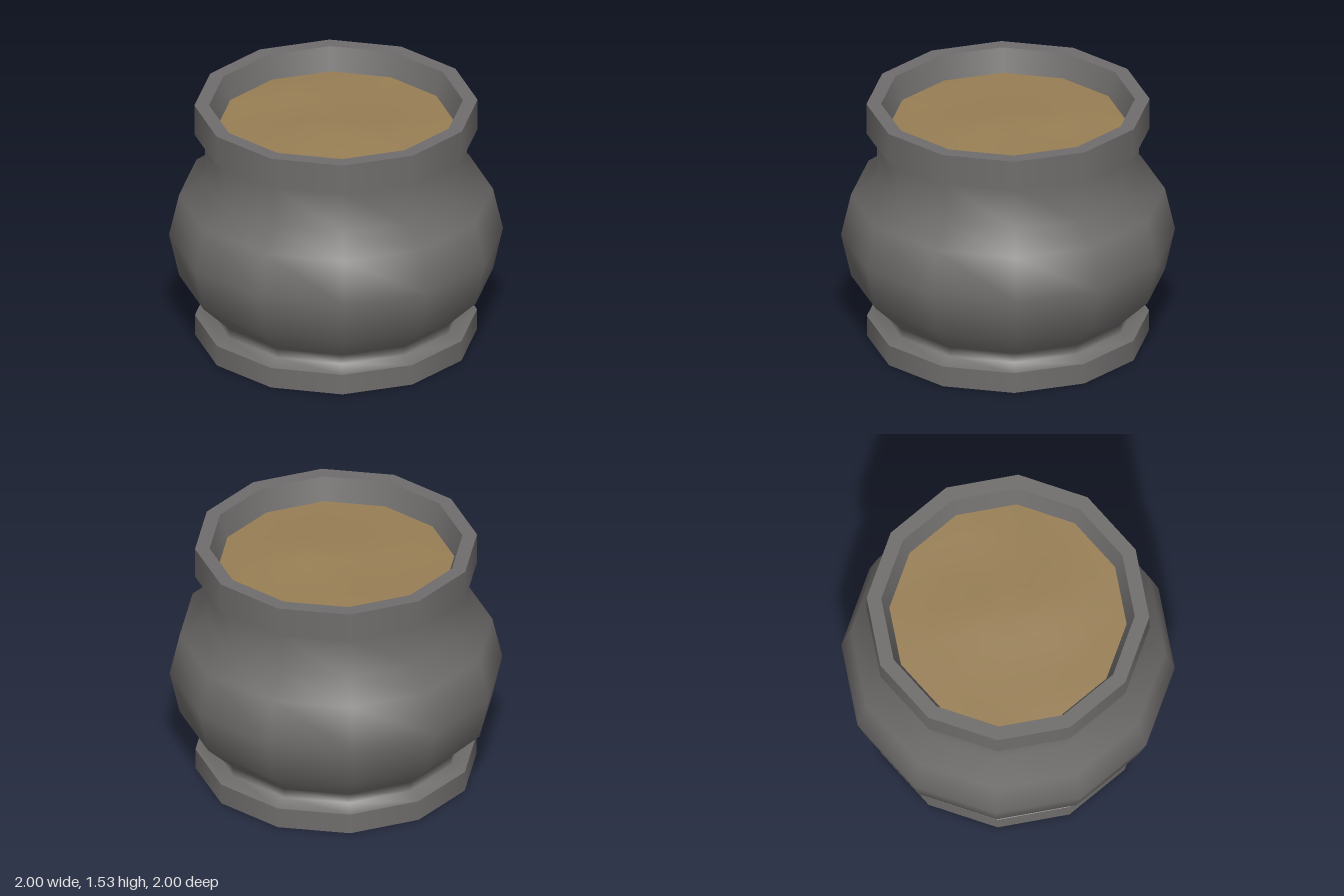
import * as THREE from 'three';
import { mergeVertices } from 'three/addons/utils/BufferGeometryUtils.js';

const SIDES = 12;

export function createModel() {
  const pot = new THREE.Group();
  pot.name = 'pot';

  const iron = new THREE.MeshStandardMaterial({ color: 0x6f6d6c });
  iron.name = 'darkGrey';
  const earth = new THREE.MeshStandardMaterial({ color: 0x987f55 });
  earth.name = 'soilBrown';

  // One smooth turned band; separate bands meet at sharp edges
  function band(name, profile, parent) {
    const points = profile.map(([r, y]) => new THREE.Vector2(r, y));
    const mesh = new THREE.Mesh(new THREE.LatheGeometry(points, SIDES), iron);
    mesh.name = name;
    parent.add(mesh);
  }

  // Foot
  const foot = new THREE.Group();
  foot.name = 'foot';
  band('footUnderside', [[0, 0], [0.845, 0]], foot);
  band('footSide', [[0.845, 0], [0.845, 0.13]], foot);

  // Bulging body running from the foot's top up into the neck
  const body = new THREE.Group();
  body.name = 'body';
  band('bodyWall', [
    [0.845, 0.13], [0.757, 0.16], [0.757, 0.22], [0.94, 0.4], [1, 0.67],
    [0.94, 0.935], [0.785, 1.05], [0.785, 1.315],
  ], body);

  // Rim with sloping inner wall
  const rim = new THREE.Group();
  rim.name = 'rim';
  band('rimUnderside', [[0.785, 1.315], [0.848, 1.337]], rim);
  band('rimSide', [[0.848, 1.337], [0.848, 1.53]], rim);
  band('rimTop', [[0.848, 1.53], [0.76, 1.53]], rim);
  band('rimInside', [[0.76, 1.53], [0.7, 1.35]], rim);

  // Soil: a shallow disc with gentle bumps
  const rings = [0.712, 0.56, 0.4, 0.2, 0].map((r) => new THREE.Vector2(r, 1.385));
  let soilShape = new THREE.LatheGeometry(rings, SIDES);
  soilShape.deleteAttribute('uv');
  soilShape.deleteAttribute('normal');
  soilShape = mergeVertices(soilShape, 1e-4);
  const p = soilShape.attributes.position;
  for (let i = 0; i < p.count; i++) {
    const x = p.getX(i), z = p.getZ(i);
    const inside = 1 - Math.hypot(x, z) / 0.712;
    const bump = 0.02 * Math.sin(5 * x + 1) * Math.cos(6 * z - 0.5);
    p.setY(i, 1.385 + Math.min(1, inside * 3) * (bump + 0.01));
  }
  soilShape.computeVertexNormals();
  const soil = new THREE.Mesh(soilShape, earth);
  soil.name = 'soil';

  pot.add(foot, body, rim, soil);
  return pot;
}
